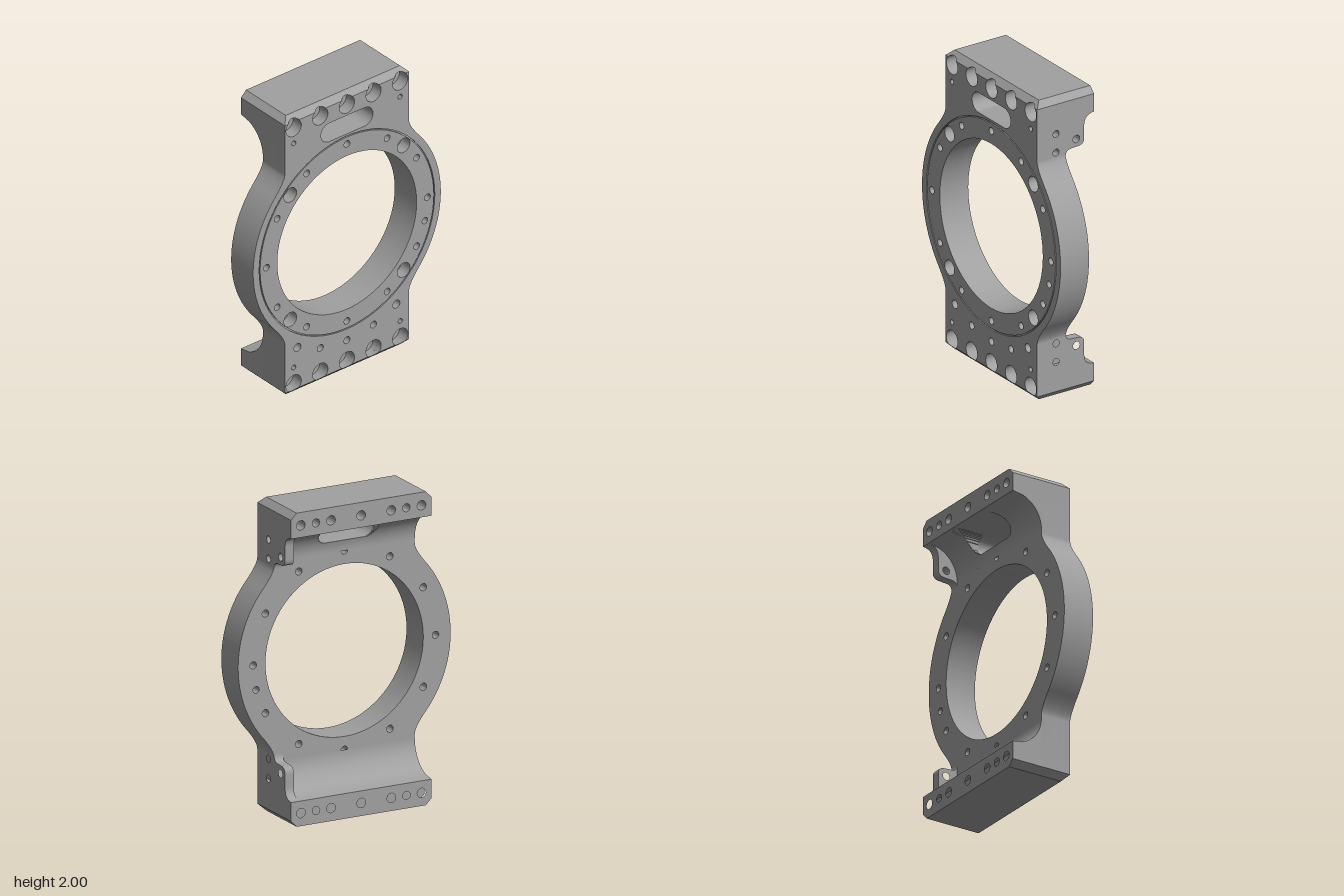
import * as THREE from 'three';
import { toCreasedNormals } from 'three/addons/utils/BufferGeometryUtils.js';

// Heights below are measured from the bore centre, which sits at y = 1.
const FRONT = 0.21, BACK = 0.21, BORE = 0.55;
const BOLT_X = [0.42, 0.21, 0, -0.21, -0.42], BOLT_Y = 0.917, BOLT_R = 0.03, SINK_R = 0.06;
const CHAMFER_Y = 0.96, FOOT_Y = 0.84, FILLET = 0.205;
const SLOT = { y: 0.774, r: 0.066, x: 0.139 };
const SIGNS = [1, -1];

const v = (x, y) => new THREE.Vector2(x, y);
const mirrorX = (pts) => pts.map((p) => v(-p.x, p.y)).reverse();

function circle(x, y, r) {
  const p = new THREE.Path();
  p.absarc(x, y, r, 0, Math.PI * 2, true);
  return p;
}

function shapeOf(pts, holes = []) {
  const s = new THREE.Shape(pts);
  s.holes.push(...holes);
  return s;
}

function slotHole() {
  const p = new THREE.Path();
  p.absarc(SLOT.x, SLOT.y, SLOT.r, -Math.PI / 2, Math.PI / 2, false);
  p.absarc(-SLOT.x, SLOT.y, SLOT.r, Math.PI / 2, Math.PI * 1.5, false);
  return p;
}

// Edge at the chamfer line, with the counterbores biting into it
function bittenEdge(sweepBelow) {
  const a0 = Math.asin((CHAMFER_Y - BOLT_Y) / SINK_R);
  const sweep = sweepBelow ? -(Math.PI + 2 * a0) : Math.PI - 2 * a0;
  const n = 20, pts = [];
  for (const cx of BOLT_X) {
    for (let i = 0; i <= n; i++) {
      const a = a0 + sweep * i / n;
      pts.push(v(cx + SINK_R * Math.cos(a), BOLT_Y + SINK_R * Math.sin(a)));
    }
  }
  return pts;
}

// Ring flank blending into the straight side of the block
function flank(withNotch) {
  const pts = [], end = Math.asin(0.46 / 0.74);
  for (let i = 0; i < 24; i++) pts.push(v(0.74 * Math.cos(end * i / 24), 0.74 * Math.sin(end * i / 24)));
  pts.push(...new THREE.QuadraticBezierCurve(v(0.58, 0.46), v(0.49, 0.565), v(0.49, 0.61)).getPoints(12));
  if (withNotch) pts.push(v(0.49, 0.612), v(0.44, 0.612), v(0.44, 0.8), v(0.49, 0.8));
  pts.push(v(0.49, CHAMFER_Y));
  return pts;
}

function outline(bitten) {
  const edge = bitten ? bittenEdge(true) : [v(0.45, 1), v(-0.45, 1)];
  const top = [...flank(true), ...edge, ...mirrorX(flank(false))];
  const bottom = top.map((p) => v(p.x, -p.y)).reverse().slice(1, -1);
  return [...top, ...bottom];
}

function extrudeZ(shape, z0, z1) {
  const g = new THREE.ExtrudeGeometry(shape, { depth: z1 - z0, bevelEnabled: false, curveSegments: 40 });
  return g.translate(0, 0, z0);
}

// Shape is drawn with (-z, y) and swept along x
function extrudeX(shape, x0, x1) {
  const g = new THREE.ExtrudeGeometry(shape, { depth: x1 - x0, bevelEnabled: false, curveSegments: 24 });
  return g.rotateY(Math.PI / 2).translate(x0, 0, 0);
}

export function createModel() {
  const metal = new THREE.MeshStandardMaterial({ color: 0xa0a0a0 });
  metal.name = 'grey metal';
  const root = new THREE.Group();
  root.name = 'bearingBracket';
  const body = new THREE.Group();
  body.name = 'bracketBody';
  body.position.y = 1;
  root.add(body);
  const add = (name, geometry) => {
    const mesh = new THREE.Mesh(toCreasedNormals(geometry, 0.6), metal);
    mesh.name = name;
    body.add(mesh);
  };

  // Hole patterns
  const ringHoles = () => {
    const list = [circle(0.615, -0.16, 0.022)];
    for (let i = 0; i < 12; i++) {
      const a = i * Math.PI / 6;
      list.push(circle(0.635 * Math.cos(a), 0.635 * Math.sin(a), 0.023));
    }
    return list;
  };
  const pockets = () => SIGNS.flatMap((a) => SIGNS.map((b) => circle(a * 0.447, b * 0.447, 0.05)));
  const bolts = (r) => SIGNS.flatMap((s) => BOLT_X.map((x) => circle(x, s * BOLT_Y, r)));
  const blindHoles = () => [
    circle(0, -0.773, 0.024),
    ...SIGNS.flatMap((s) => [
      circle(s * 0.42, 0.807, 0.017), circle(s * 0.42, -0.802, 0.017),
      circle(s * 0.39, -0.67, 0.028), circle(s * 0.21, -0.745, 0.024),
    ]),
  ];
  const bore = () => circle(0, 0, BORE);

  // Ring plate, built in layers so that counterbores and pockets have floors
  add('plateBack', extrudeZ(shapeOf(outline(false),
    [bore(), slotHole(), ...ringHoles(), ...bolts(BOLT_R)]), 0, 0.13));
  add('plateMiddle', extrudeZ(shapeOf(outline(false),
    [bore(), slotHole(), ...ringHoles(), ...pockets(), ...bolts(SINK_R), ...blindHoles()]), 0.13, 0.17));
  add('plateFront', extrudeZ(shapeOf(outline(true),
    [bore(), slotHole(), ...ringHoles(), ...pockets(), ...blindHoles()]), 0.17, 0.2));

  // Front skin, split by a fine circular groove
  add('frontSkin', extrudeZ(shapeOf(outline(true),
    [circle(0, 0, 0.693), slotHole(), ...blindHoles()]), 0.2, FRONT));
  const face = new THREE.Shape();
  face.absarc(0, 0, 0.685, 0, Math.PI * 2, false);
  face.holes.push(bore(), ...ringHoles(), ...pockets());
  add('ringFace', extrudeZ(face, 0.2, FRONT));

  // Wedge of fillet between the plate and a foot, limited to heights lo..hi
  const fillet = (s, x0, x1, lo, hi) => {
    const pts = [v(0, s * hi), v(0, s * lo)];
    for (let i = 0; i <= 16; i++) {
      const y = lo + (hi - lo) * i / 16, d = y - (FOOT_Y - FILLET);
      pts.push(v(FILLET - Math.sqrt(Math.max(0, FILLET * FILLET - d * d)), s * y));
    }
    add('footFillet', extrudeX(shapeOf(pts), x0, x1));
  };

  for (const s of SIGNS) {
    const flip = (pts) => pts.map((p) => v(p.x, s * p.y));

    // Sloped front edge
    const strip = extrudeZ(shapeOf(flip([v(0.49, CHAMFER_Y), ...bittenEdge(false),
      v(-0.49, CHAMFER_Y), v(-0.45, 1), v(0.45, 1)])), 0.17, FRONT);
    const pos = strip.attributes.position;
    for (let i = 0; i < pos.count; i++) {
      if (pos.getZ(i) > 0.2) pos.setZ(i, FRONT - (Math.abs(pos.getY(i)) - CHAMFER_Y));
    }
    add('frontChamfer', strip);

    // Rear foot with through bolts and extra blind holes
    const foot = flip([v(0.49, FOOT_Y), v(0.49, CHAMFER_Y), v(0.45, 1),
      v(-0.45, 1), v(-0.49, CHAMFER_Y), v(-0.49, FOOT_Y)]);
    const through = () => BOLT_X.map((x) => circle(x, s * BOLT_Y, BOLT_R));
    add('footInner', extrudeZ(shapeOf(foot, through()), -0.12, 0));
    add('footOuter', extrudeZ(shapeOf(foot,
      [...through(), ...SIGNS.map((a) => circle(a * 0.315, s * BOLT_Y, 0.026))]), -BACK, -0.12));

    // Drilled side plate filling the notch on the left flank
    add('sidePlate', extrudeX(shapeOf(
      flip([v(-FRONT, 0.612), v(0, 0.612), v(0, 0.8), v(-FRONT, 0.8)]),
      [circle(-0.07, s * 0.638, 0.023), circle(-0.07, s * 0.762, 0.023)]), 0.44, 0.49));

    // Rounded ear on the left side
    const ear = new THREE.Shape();
    ear.moveTo(0, s * 0.59);
    ear.quadraticCurveTo(0, s * 0.637, 0.045, s * 0.637);
    ear.lineTo(0.095, s * 0.64);
    ear.quadraticCurveTo(0.138, s * 0.642, 0.138, s * 0.685);
    ear.lineTo(0.138, s * 0.77);
    ear.quadraticCurveTo(0.14, s * 0.835, BACK, s * FOOT_Y);
    ear.lineTo(0, s * FOOT_Y);
    ear.holes.push(circle(0.08, s * 0.69, 0.025));
    add('sideEar', extrudeX(ear, 0.43, 0.49));
  }

  // Lower fillet runs full width; the upper one is cut by the slot
  const low = FOOT_Y - FILLET, slotEnd = SLOT.x + SLOT.r;
  fillet(-1, -0.49, 0.49, low, FOOT_Y);
  fillet(1, -SLOT.x, SLOT.x, low, SLOT.y - SLOT.r);
  for (const s of SIGNS) {
    const span = (a, b, lo, hi) => fillet(1, Math.min(s * a, s * b), Math.max(s * a, s * b), lo, hi);
    span(slotEnd, 0.49, low, FOOT_Y);
    const n = 8;
    for (let i = 0; i < n; i++) {
      const a = SLOT.r * i / n, b = SLOT.r * (i + 1) / n, m = (a + b) / 2;
      const h = Math.sqrt(SLOT.r * SLOT.r - m * m);
      span(SLOT.x + a, SLOT.x + b, low, SLOT.y - h);
      span(SLOT.x + a, SLOT.x + b, SLOT.y + h, FOOT_Y);
    }
  }
  return root;
}
